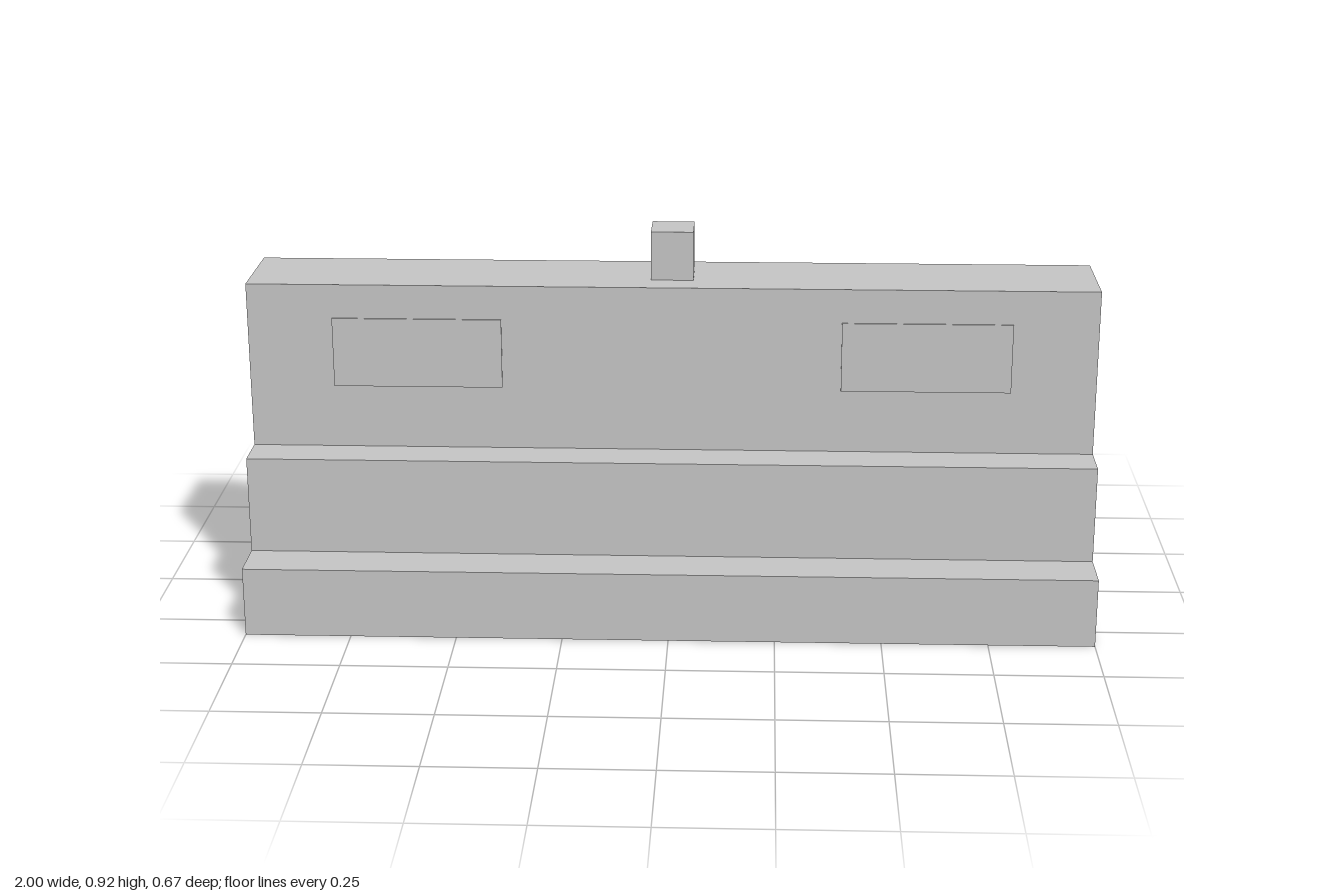
import * as THREE from 'three';

export function createModel() {
  const group = new THREE.Group();
  const concrete = new THREE.MeshStandardMaterial({ color: 0xc5c5c5 });
  concrete.name = 'light concrete grey';

  const box = (name, w, h, d, x, y, z) => {
    const mesh = new THREE.Mesh(new THREE.BoxGeometry(w, h, d), concrete);
    mesh.name = name;
    mesh.position.set(x, y, z);
    group.add(mesh);
  };

  // Stepped barrier body, one extruded profile (half width, height)
  const steps = [[0.334, 0], [0.334, 0.167], [0.217, 0.167], [0.217, 0.4], [0.116, 0.4], [0.116, 0.8]];
  const outline = [...steps, ...steps.map(([z, y]) => [-z, y]).reverse()];
  const profile = new THREE.Shape(outline.map(([z, y]) => new THREE.Vector2(z, y)));
  const geometry = new THREE.ExtrudeGeometry(profile, { depth: 2, bevelEnabled: false });
  geometry.translate(0, 0, -1).rotateY(Math.PI / 2);
  const body = new THREE.Mesh(geometry, concrete);
  body.name = 'barrierBody';
  group.add(body);

  // Square post on the top
  box('topPost', 0.1, 0.117, 0.1, 0, 0.8585, 0);

  // Slightly raised panels, two on each face
  for (const side of [1, -1]) {
    for (const x of [0.6, -0.6]) {
      box(side > 0 ? 'frontPanel' : 'backPanel', 0.4, 0.167, 0.007, x, 0.635, side * 0.116);
    }
  }

  return group;
}
